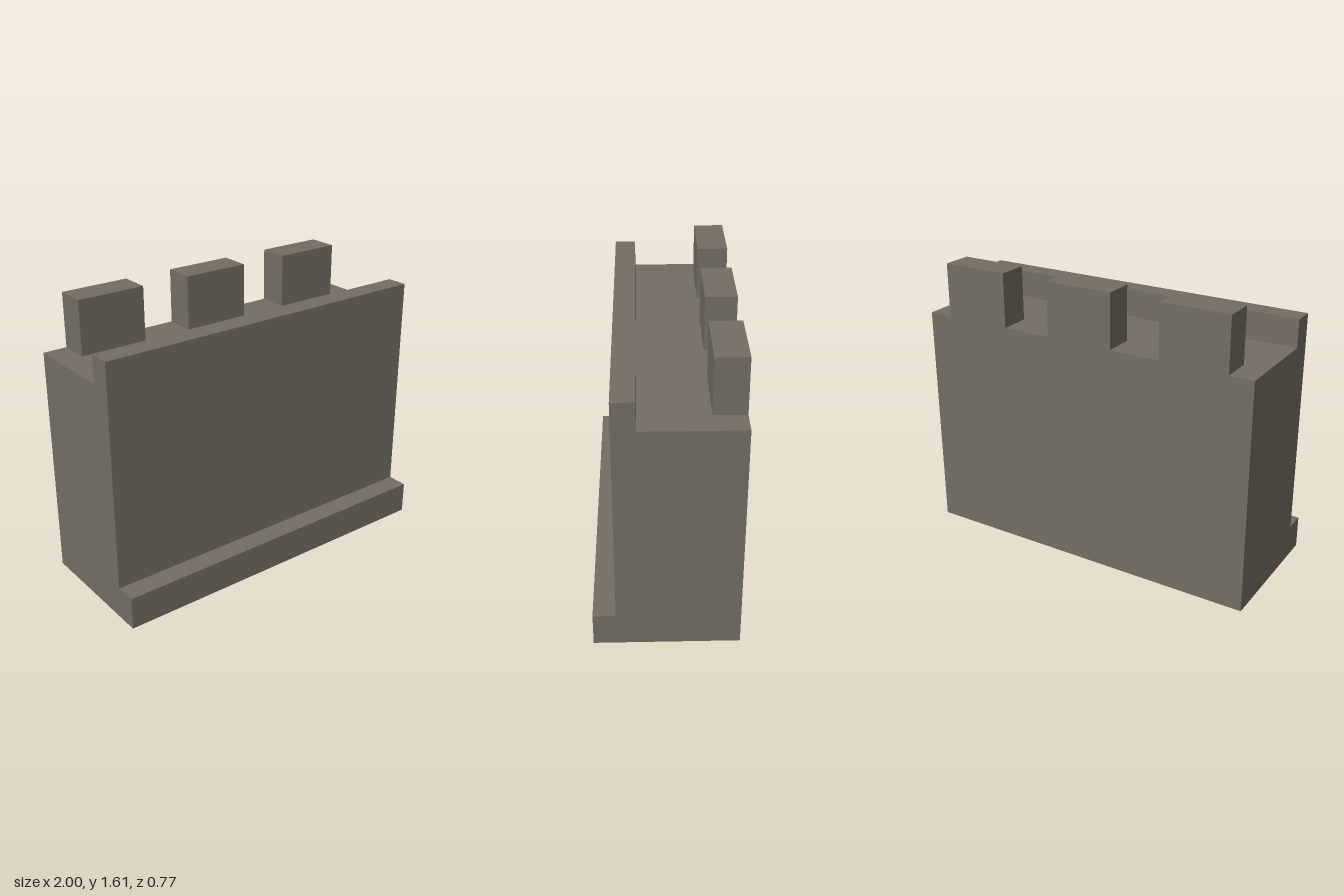
import * as THREE from 'three';

export function createModel() {
  const group = new THREE.Group();
  const stone = new THREE.MeshStandardMaterial({ color: 0x736d63 });
  stone.name = 'stone';

  // Wall: side profile (z, y) with foot ledge, parapet and walkway, swept along x
  const profile = [
    [-0.385, 0], [0.385, 0], [0.385, 0.185], [0.265, 0.185],
    [0.265, 1.46], [0.145, 1.46], [0.145, 1.305], [-0.385, 1.305],
  ];
  const shape = new THREE.Shape(profile.map(([z, y]) => new THREE.Vector2(z, y)));
  const wallGeometry = new THREE.ExtrudeGeometry(shape, { depth: 2, bevelEnabled: false });
  wallGeometry.translate(0, 0, -1).rotateY(-Math.PI / 2);
  const wall = new THREE.Mesh(wallGeometry, stone);
  wall.name = 'wall';
  group.add(wall);

  // Three merlons along the back edge
  const merlonGeometry = new THREE.BoxGeometry(0.387, 0.305, 0.17);
  ['rightMerlon', 'middleMerlon', 'leftMerlon'].forEach((name, i) => {
    const merlon = new THREE.Mesh(merlonGeometry, stone);
    merlon.name = name;
    merlon.position.set((i - 1) * 0.67 - 0.002, 1.4575, -0.3);
    group.add(merlon);
  });

  return group;
}
